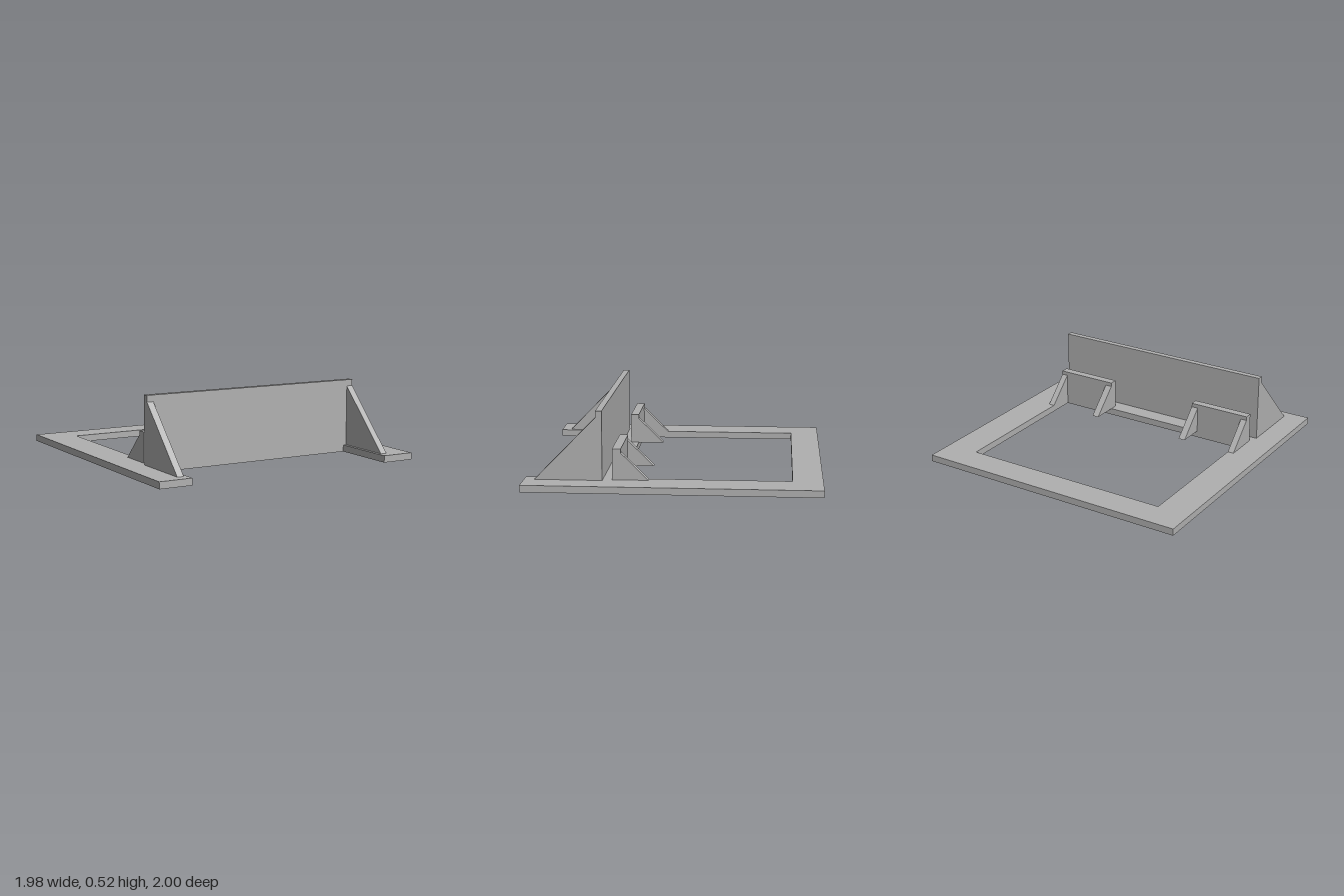
import * as THREE from 'three';

const BASE = 0.048; // base plate thickness

export function createModel() {
  const model = new THREE.Group();
  const grey = new THREE.MeshStandardMaterial({ color: 0xb0b0b0 });
  grey.name = 'plain grey';

  const add = (name, geometry) => {
    const mesh = new THREE.Mesh(geometry, grey);
    mesh.name = name;
    model.add(mesh);
  };

  const polygon = (points, Type = THREE.Shape) =>
    new Type(points.map(([a, b]) => new THREE.Vector2(a, b)));

  // Upright plate spanning x0..x1, z0..z1, standing on the base
  const plate = (name, x0, x1, z0, z1, top) => {
    const g = new THREE.BoxGeometry(x1 - x0, top - BASE, z1 - z0);
    add(name, g.translate((x0 + x1) / 2, (top + BASE) / 2, (z0 + z1) / 2));
  };

  // Triangular brace: upright edge at zWall, foot reaching zFoot
  const brace = (name, x0, x1, zWall, zFoot, top) => {
    const shape = polygon([[zWall, BASE], [zFoot, BASE], [zWall, top]]);
    const g = new THREE.ExtrudeGeometry(shape, { depth: x1 - x0, bevelEnabled: false });
    add(name, g.rotateY(-Math.PI / 2).translate(x1, 0, 0));
  };

  // Base frame: rectangular opening, with two arms reaching forward
  // (shape y becomes -z when laid flat)
  const outline = polygon([
    [-0.99, 1], [-0.99, -1], [-0.755, -1], [-0.755, -0.515],
    [0.755, -0.515], [0.755, -1], [0.99, -1], [0.99, 1],
  ]);
  outline.holes.push(polygon([
    [-0.755, 0.795], [0.755, 0.795], [0.755, -0.35], [-0.755, -0.35],
  ], THREE.Path));
  const base = new THREE.ExtrudeGeometry(outline, { depth: BASE, bevelEnabled: false });
  add('baseFrame', base.rotateX(-Math.PI / 2));

  // Tall front wall
  plate('frontWall', -0.825, 0.825, 0.472, 0.515, 0.52);

  for (const [side, s] of [['left', 1], ['right', -1]]) {
    // Mirrored x range, always in ascending order
    const span = (a, b) => (s > 0 ? [a, b] : [-b, -a]);
    brace(`${side}FrontBrace`, ...span(0.778, 0.825), 0.515, 0.93, 0.475);
    plate(`${side}RearStop`, ...span(0.35, 0.8), 0.35, 0.408, 0.26);
    brace(`${side}RearInnerBrace`, ...span(0.35, 0.4), 0.35, 0.165, 0.232);
    brace(`${side}RearOuterBrace`, ...span(0.755, 0.8), 0.35, 0.165, 0.232);
  }
  return model;
}
